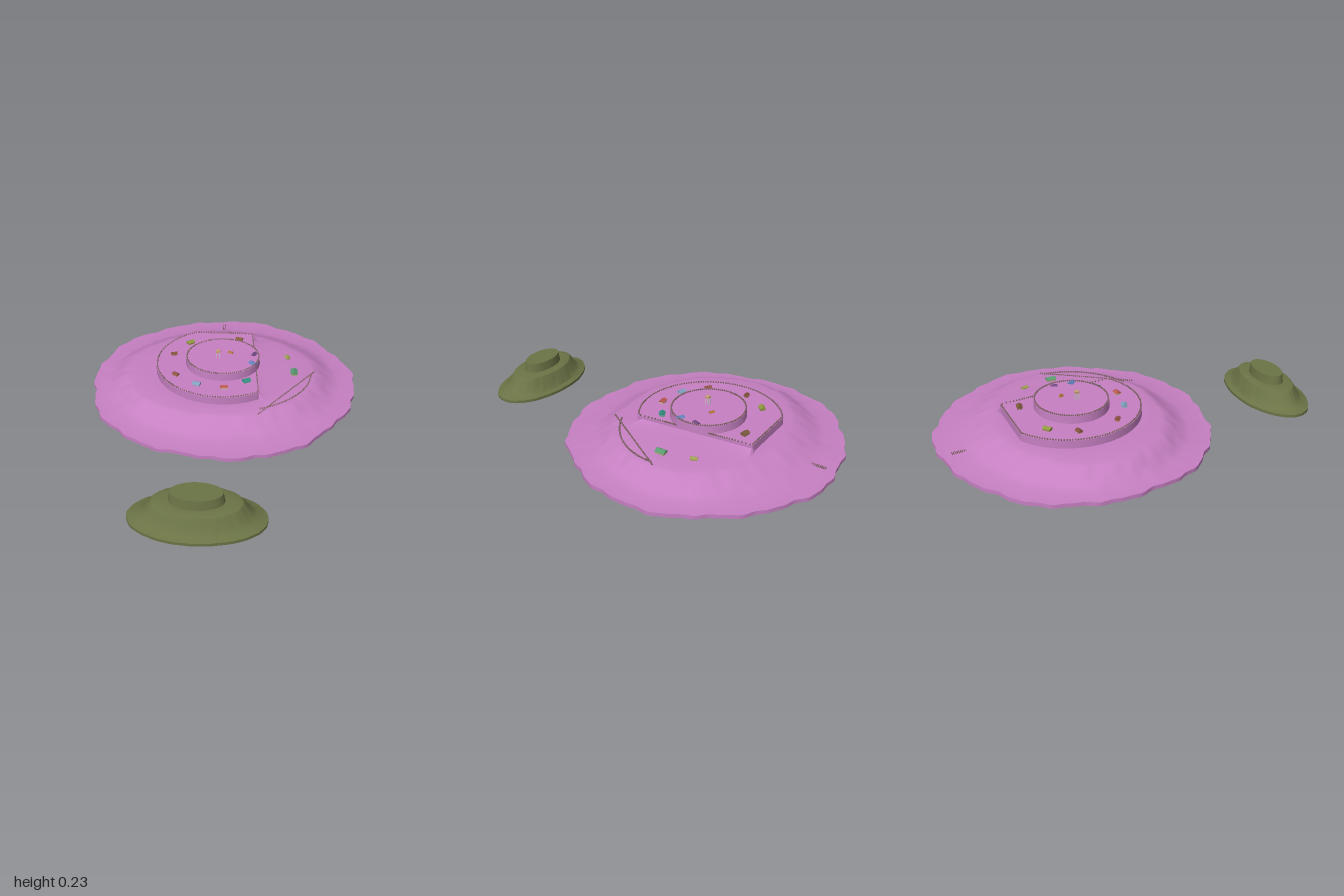
import * as THREE from 'three';
import { mergeGeometries, toCreasedNormals } from 'three/addons/utils/BufferGeometryUtils.js';

const SEG = 180;
const mat = (color, side = THREE.FrontSide) => new THREE.MeshStandardMaterial({ color, side });

function addMesh(parent, name, geometry, material) {
  const mesh = new THREE.Mesh(geometry, material);
  mesh.name = name;
  parent.add(mesh);
  return mesh;
}

// Smooth repeating ripple around a coastline, roughly -1..1
const ripple = (a, s) =>
  0.4 * Math.sin(5 * a + s) + 0.3 * Math.sin(11 * a + 2 * s) + 0.25 * Math.sin(23 * a + 3 * s) + 0.15 * Math.sin(41 * a + s);

// Open shell skinned over rings listed from the coast to the summit
function terrain(rings) {
  const pos = [], index = [];
  rings.forEach((ring, i) => {
    for (let j = 0; j < SEG; j++) {
      pos.push(...ring((j / SEG) * Math.PI * 2));
      if (i === rings.length - 1) continue;
      const k = (j + 1) % SEG;
      const a = i * SEG + j, b = i * SEG + k, c = a + SEG, d = b + SEG;
      index.push(a, c, b, b, c, d);
    }
  });
  const g = new THREE.BufferGeometry();
  g.setAttribute('position', new THREE.Float32BufferAttribute(pos, 3));
  g.setIndex(index);
  return toCreasedNormals(g, 0.6);
}

// Elliptical ring with an optional ripple
const oval = (cx, cz, rx, rz, y, amp = 0, seed = 1) => (a) => {
  const w = amp * ripple(a, seed);
  return [cx + (rx + w) * Math.cos(a), y, cz + (rz + w) * Math.sin(a)];
};

// Middle terrace: a circle cut straight on its left and back sides
const TX = -0.005, TZ = -0.32;
function terraceRadius(a) {
  const c = Math.cos(a), s = Math.sin(a), toCut = c - 0.08 * s;
  let r = 0.365;
  if (toCut > 0) r = Math.min(r, 0.18 / toCut);
  if (s < 0) r = Math.min(r, 0.32 / -s);
  return r;
}
const terrace = (y, rampY = y) => (a) => {
  const r = terraceRadius(a);
  const onRamp = r < 0.364 && r * Math.cos(a) > 0.14;
  return [TX + r * Math.cos(a), onRamp ? rampY : y, TZ + r * Math.sin(a)];
};

// Row of small square posts along a path t -> [x, y, z]
function posts(count, path, w = 0.006, h = 0.007) {
  const list = [];
  for (let i = 0; i < count; i++) {
    const [x, y, z] = path(i / count);
    list.push(new THREE.BoxGeometry(w, h, w).translate(x, y + h / 2, z));
  }
  return mergeGeometries(list);
}

function house(x, y, z, turn, wall, roof, size = 1) {
  const g = new THREE.Group();
  g.name = 'house';
  addMesh(g, 'houseWalls', new THREE.BoxGeometry(0.038, 0.01, 0.026).translate(0, 0.005, 0), mat(wall));
  const gable = new THREE.Shape([
    new THREE.Vector2(-0.016, 0), new THREE.Vector2(0.016, 0), new THREE.Vector2(0, 0.009),
  ]);
  const roofGeo = new THREE.ExtrudeGeometry(gable, { depth: 0.042, bevelEnabled: false });
  roofGeo.translate(0, 0.01, -0.021).rotateY(Math.PI / 2);
  addMesh(g, 'houseRoof', roofGeo, mat(roof));
  g.position.set(x, y, z);
  g.rotation.y = turn;
  g.scale.setScalar(size);
  return g;
}

export function createModel() {
  const model = new THREE.Group();

  // Main island: beach, slope, plateau, ramp and two terraces
  const coast = (y) => oval(-0.003, -0.304, 0.717, 0.694, y, 0.02, 2);
  addMesh(model, 'mainIsland', terrain([
    coast(0),
    coast(0.02),
    oval(-0.005, -0.31, 0.64, 0.58, 0.022, 0.012, 4),
    oval(-0.01, -0.305, 0.6, 0.535, 0.037, 0.012, 4),
    oval(-0.015, -0.3, 0.562, 0.482, 0.068, 0.014, 3),
    oval(-0.015, -0.29, 0.522, 0.438, 0.092, 0.01, 3),
    oval(-0.015, -0.29, 0.502, 0.415, 0.098, 0.006, 3),
    oval(0, -0.31, 0.39, 0.375, 0.1),
    terrace(0.1, 0.125),
    terrace(0.14),
    oval(-0.005, -0.31, 0.202, 0.19, 0.14),
    oval(-0.005, -0.31, 0.2, 0.188, 0.18),
    () => [-0.005, 0.18, -0.31],
  ]), mat(0xc680c2, THREE.DoubleSide));

  // Small islet with a raised top
  addMesh(model, 'smallIslet', terrain([
    oval(-0.055, 0.82, 0.32, 0.18, 0, 0.002, 5),
    oval(-0.055, 0.82, 0.32, 0.18, 0.015, 0.002, 5),
    oval(-0.055, 0.818, 0.275, 0.154, 0.024, 0.003, 5),
    oval(-0.055, 0.816, 0.245, 0.138, 0.045, 0.003, 4),
    oval(-0.055, 0.816, 0.226, 0.126, 0.075, 0.003, 4),
    oval(-0.055, 0.816, 0.208, 0.113, 0.098, 0.002, 4),
    oval(-0.055, 0.815, 0.19, 0.1, 0.103),
    oval(-0.057, 0.815, 0.128, 0.072, 0.104),
    oval(-0.057, 0.815, 0.12, 0.066, 0.152),
    () => [-0.057, 0.152, 0.815],
  ]), mat(0x6b7346, THREE.DoubleSide));

  // Fences around the terraces and on the plateau edge
  const fence = mat(0x8c6a72);
  const turn = Math.PI * 2;
  addMesh(model, 'upperFence', posts(110, (t) => oval(-0.005, -0.31, 0.196, 0.184, 0.18)(t * turn)), fence);
  addMesh(model, 'terraceFence', posts(170, (t) => {
    const [x, y, z] = terrace(0.14)(t * turn);
    return [TX + (x - TX) * 0.985, y, TZ + (z - TZ) * 0.985];
  }), fence);
  addMesh(model, 'plateauFence', posts(45, (t) => [0.2 + 0.3 * t, 0.098, 0.12 - 0.43 * t]), fence);
  addMesh(model, 'plateauEdgeFence', posts(45, (t) =>
    oval(-0.015, -0.29, 0.492, 0.407, 0.098)(1.1 - 1.1 * t)), fence);

  // Jetty posts on the back beach
  for (const x of [-0.036, -0.026]) {
    addMesh(model, 'jettyPosts', posts(14, (t) => [x, 0.018, -0.83 - 0.12 * t], 0.004, 0.012), fence);
  }

  // Houses: x, ground height, z, turn, wall colour, roof colour, size
  [
    [-0.2, 0.14, -0.51, 0.7, 0x9a8a50, 0x8f9a3c, 1],
    [0.075, 0.14, -0.56, -0.2, 0x8a6a50, 0x7d5a3c, 1],
    [0.35, 0.1, -0.44, 1.9, 0xa89860, 0x9aa050, 0.85],
    [-0.28, 0.14, -0.38, 0.2, 0x9a7050, 0x80503c, 0.85],
    [0.035, 0.175, -0.35, -0.4, 0xb08850, 0xb07038, 0.7],
    [0.165, 0.17, -0.34, 1.2, 0x806080, 0x704880, 0.9],
    [0.16, 0.17, -0.245, -0.7, 0x8aa0c0, 0x6080b8, 1],
    [0.385, 0.1, -0.28, 1.57, 0xa0a880, 0x5a9a70, 1.25],
    [-0.25, 0.14, -0.165, -0.6, 0xb08060, 0x905048, 0.85],
    [-0.13, 0.14, -0.075, -0.3, 0xa0b0c8, 0x80a0c0, 1],
    [0.015, 0.14, -0.05, 0.1, 0xd0b0a8, 0xb85850, 1],
    [0.13, 0.14, -0.12, 0.5, 0x60a090, 0x309080, 1],
  ].forEach((h) => model.add(house(...h)));

  // Lookout tower on the summit
  const tower = new THREE.Group();
  tower.name = 'lookoutTower';
  const pale = mat(0xcccccc);
  for (const sx of [-1, 1]) for (const sz of [-1, 1]) {
    addMesh(tower, 'towerLeg', new THREE.BoxGeometry(0.003, 0.04, 0.003).translate(sx * 0.008, 0.02, sz * 0.008), pale);
  }
  addMesh(tower, 'towerCabin', new THREE.BoxGeometry(0.022, 0.01, 0.022).translate(0, 0.041, 0), mat(0xc8a078));
  tower.position.set(-0.03, 0.18, -0.29);
  model.add(tower);

  return model;
}
